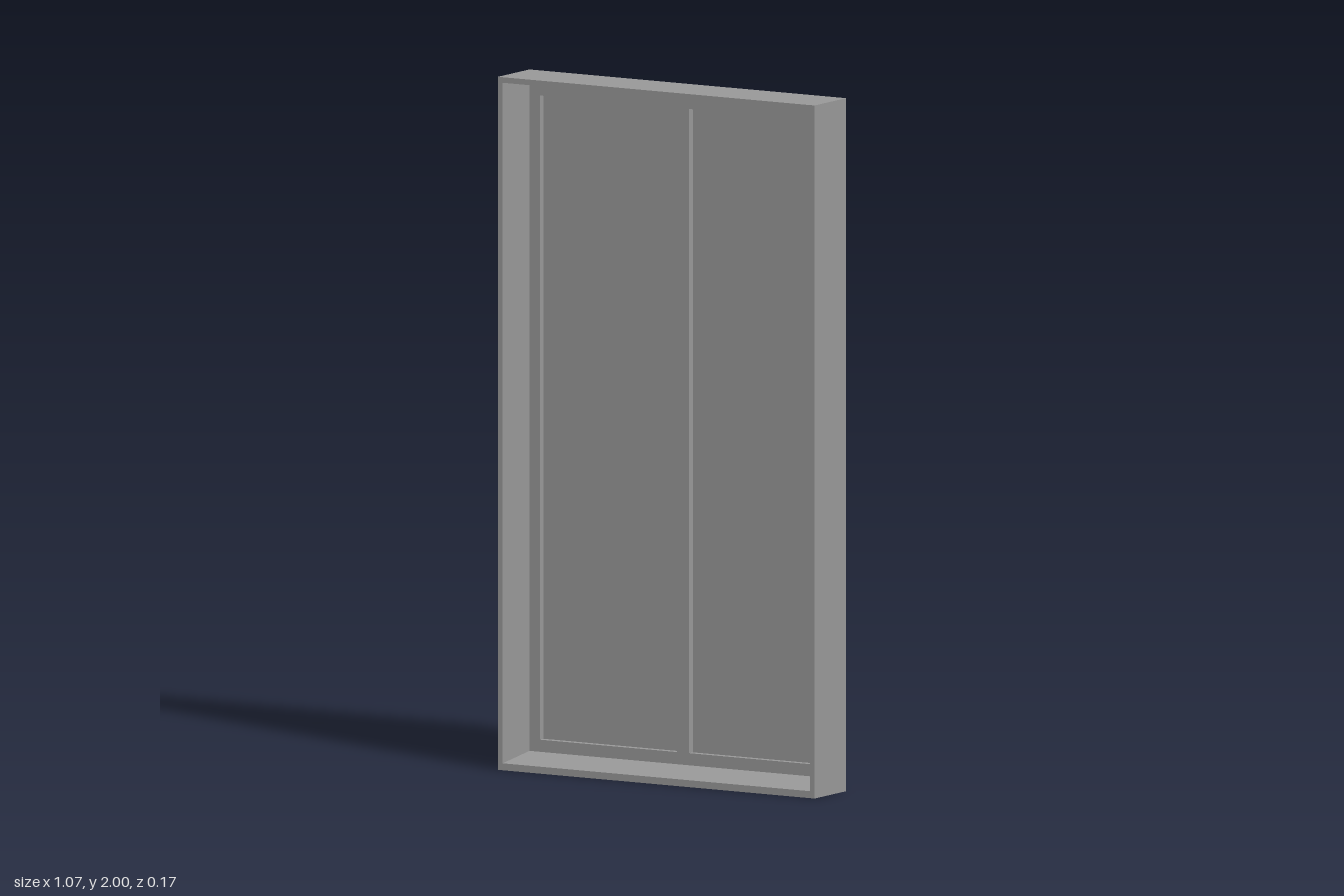
import * as THREE from 'three';

const W = 1.066, H = 2, D = 0.17;   // outer size
const RIM = 0.016;                  // thickness of the outer casing
const SASH_Z = -0.06;               // front face of the sash
const PANE_Z = -0.08;               // front face of the panes

// Rectangle given by its edges, as a shape or a hole
function rect(x0, x1, y0, y1, Type = THREE.Shape) {
  return new Type([
    new THREE.Vector2(x0, y0), new THREE.Vector2(x1, y0),
    new THREE.Vector2(x1, y1), new THREE.Vector2(x0, y1),
  ]);
}

// Plate with rectangular openings, running from z0 to z1
function plate(name, material, outer, openings, z0, z1) {
  const shape = rect(...outer);
  for (const o of openings) shape.holes.push(rect(...o, THREE.Path));
  const geometry = new THREE.ExtrudeGeometry(shape, { depth: z1 - z0, bevelEnabled: false });
  geometry.translate(0, 0, z0);
  const mesh = new THREE.Mesh(geometry, material);
  mesh.name = name;
  return mesh;
}

export function createModel() {
  const group = new THREE.Group();
  group.name = 'window';
  const grey = new THREE.MeshStandardMaterial({ color: 0x999999 });
  grey.name = 'grey';

  const outer = [-W / 2, W / 2, 0, H];
  const inX = W / 2 - RIM;
  const opening = [-inX, inX, RIM, H - RIM];

  // Thin backing that carries both panes
  group.add(plate('panes', grey, outer, [], -D / 2, PANE_Z));

  // Sash with two tall openings either side of the mullion
  const lights = [[-0.482, -0.02, 0.073, 1.932], [0.02, 0.482, 0.073, 1.932]];
  group.add(plate('sash', grey, outer, lights, PANE_Z, SASH_Z));

  // Deep outer casing
  group.add(plate('casing', grey, outer, [opening], SASH_Z, D / 2));

  // Sill sloping down towards the front
  const profile = new THREE.Shape([
    new THREE.Vector2(-D / 2, RIM), new THREE.Vector2(-SASH_Z, RIM),
    new THREE.Vector2(-SASH_Z, 0.038), new THREE.Vector2(-D / 2, 0.02),
  ]);
  const sillGeometry = new THREE.ExtrudeGeometry(profile, { depth: 2 * inX, bevelEnabled: false });
  sillGeometry.translate(0, 0, -inX).rotateY(Math.PI / 2); // profile x becomes -z
  const sill = new THREE.Mesh(sillGeometry, grey);
  sill.name = 'sill';
  group.add(sill);

  return group;
}
